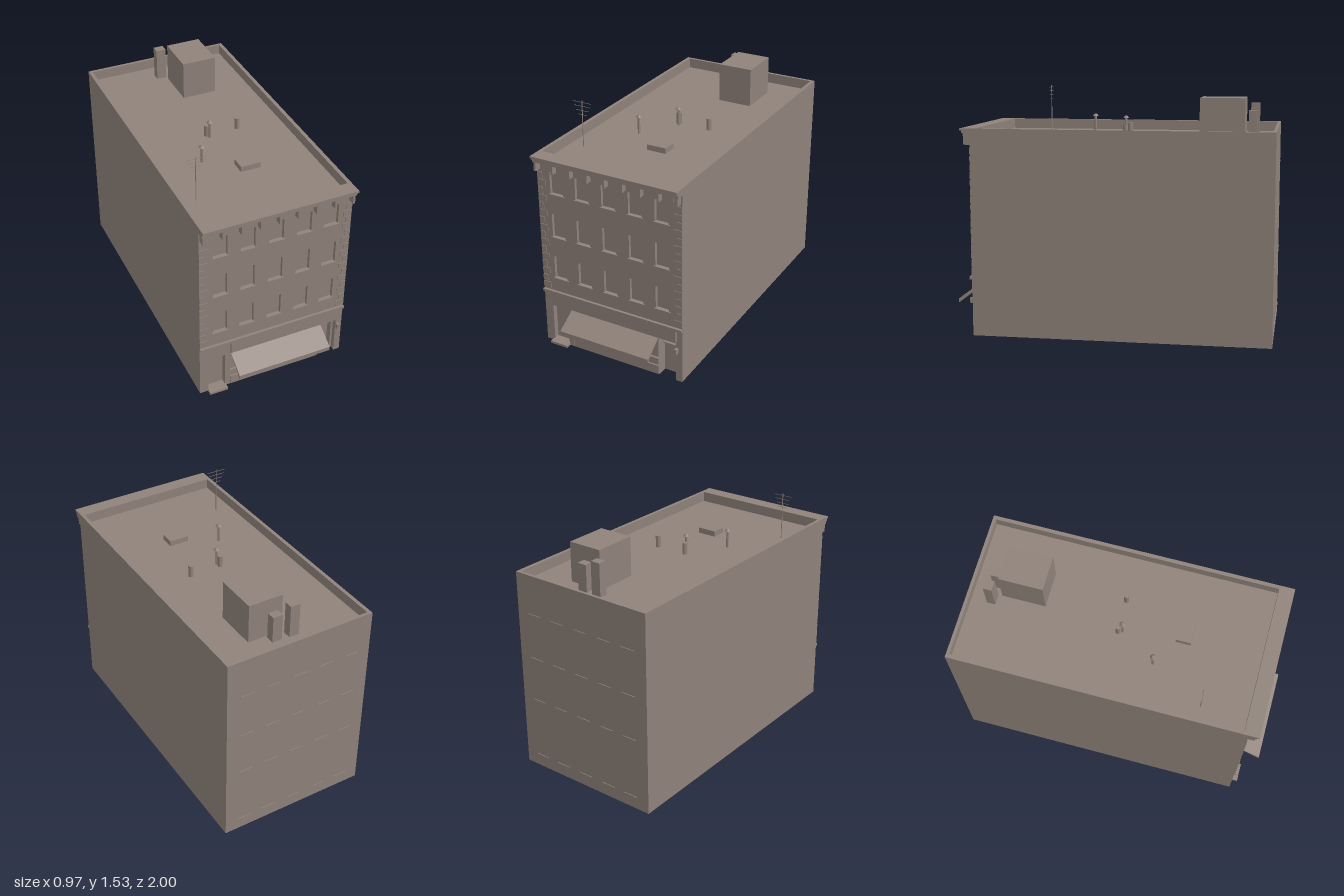
import * as THREE from 'three';

export function createModel() {
  const model = new THREE.Group();
  model.name = 'rowBuilding';
  const masonry = new THREE.MeshStandardMaterial({ color: 0x8f827a, side: THREE.DoubleSide, flatShading: true });
  masonry.name = 'taupe masonry';

  const add = (name, geometry) => {
    const mesh = new THREE.Mesh(geometry, masonry);
    mesh.name = name;
    model.add(mesh);
    return mesh;
  };
  // Box given by its limits on each axis
  const box = (name, x0, x1, y0, y1, z0, z1) => {
    const mesh = add(name, new THREE.BoxGeometry(x1 - x0, y1 - y0, z1 - z0));
    mesh.position.set((x0 + x1) / 2, (y0 + y1) / 2, (z0 + z1) / 2);
    return mesh;
  };
  // Box without some faces (0 +x, 1 -x, 2 +y, 3 -y, 4 +z, 5 -z)
  const openBox = (name, missing, ...limits) => {
    const { geometry } = box(name, ...limits);
    const index = Array.from(geometry.index.array);
    geometry.setIndex(index.filter((_, i) => !missing.includes(Math.floor(i / 6))));
    geometry.clearGroups();
  };
  const cylinder = (name, x, z, y0, y1, rBottom, rTop = rBottom, sides = 12) => {
    const mesh = add(name, new THREE.CylinderGeometry(rTop, rBottom, y1 - y0, sides));
    mesh.position.set(x, (y0 + y1) / 2, z);
    return mesh;
  };
  const shapeOf = (points) => new THREE.Shape(points.map(([x, y]) => new THREE.Vector2(x, y)));
  const rect = (x0, x1, y0, y1) => shapeOf([[x0, y0], [x1, y0], [x1, y1], [x0, y1]]);
  const extrude = (shape, depth) => new THREE.ExtrudeGeometry(shape, { depth, bevelEnabled: false });

  const W = 0.487, ROOF = 1.23, FRONT = 0.86, BACK = -0.995;
  const columns = [-0.355, -0.18, 0, 0.18, 0.355];
  const floors = [[0.47, 0.62], [0.755, 0.91], [1.045, 1.19]];

  // Hollow shell: side walls, rear wall and roof, open below and at the front
  openBox('wallsAndRoof', [3, 4], -W, W, 0, ROOF, BACK, FRONT);

  // Upper facade with recessed windows
  const facade = rect(-W, W, 0.36, 1.29);
  for (const x of columns) {
    for (const [y0, y1] of floors) {
      facade.holes.push(rect(x - 0.045, x + 0.045, y0, y1));
      openBox('windowRecess', [4], x - 0.045, x + 0.045, y0, y1, 0.84, FRONT);
      box('windowSill', x - 0.053, x + 0.053, y0 - 0.004, y0 + 0.001, 0.85, 0.868);
    }
  }
  add('upperFacade', new THREE.ShapeGeometry(facade)).position.z = FRONT;

  // Ground floor facade with door and shop openings
  const ground = shapeOf([[-W, 0], [-0.43, 0], [-0.43, 0.26], [-0.32, 0.26], [-0.32, 0], [-0.285, 0],
    [-0.285, 0.275], [0.445, 0.275], [0.445, 0], [W, 0], [W, 0.36], [-W, 0.36]]);
  add('groundFacade', new THREE.ShapeGeometry(ground)).position.z = FRONT;
  openBox('leftDoorRecess', [3, 4], -0.43, -0.32, 0, 0.26, 0.825, FRONT);
  box('leftDoorStep', -0.435, -0.315, 0, 0.015, 0.825, 0.9);

  // Shop window, plinth and recessed right door
  openBox('shopWindowRecess', [3, 4], -0.285, 0.325, 0, 0.275, 0.835, FRONT);
  openBox('shopPlinth', [3, 5], -0.28, 0.325, 0, 0.06, 0.835, FRONT);
  openBox('shopWindowBase', [3, 5], -0.28, 0.325, 0.06, 0.105, 0.835, 0.85);
  openBox('rightDoorRecess', [3, 4], 0.33, 0.445, 0, 0.268, 0.79, FRONT);
  box('rightDoorHeader', 0.325, 0.445, 0.268, 0.275, 0.84, FRONT);
  box('rightDoorTransom', 0.33, 0.43, 0.203, 0.21, 0.79, 0.81);
  box('rightDoorJamb', 0.43, 0.445, 0, 0.268, 0.79, 0.83);
  box('wallBox', 0.446, 0.46, 0.2, 0.235, FRONT, 0.885);
  box('shopFascia', -0.285, 0.45, 0.275, 0.36, FRONT, 0.875);
  box('shopLedge', -W, W, 0.357, 0.375, FRONT, 0.877);

  // Sloping awning
  const awning = add('awning', extrude(shapeOf([[-0.865, 0.275], [-1, 0.195], [-1, 0.168]]), 0.615));
  awning.rotation.y = Math.PI / 2;
  awning.position.x = -0.285;

  // Alternating corner quoins
  for (let i = 0; i < 16; i++) {
    const y = 0.385 + i * 0.05, w = i % 2 ? 0.035 : 0.055;
    for (const s of [-1, 1]) {
      box('quoin', Math.min(s * W, s * (W - w)), Math.max(s * W, s * (W - w)), y, y + 0.042, FRONT, 0.864);
    }
  }

  // Cornice with brackets and dentils
  box('frieze', -0.43, 0.43, 1.19, 1.25, FRONT, 0.864);
  box('corniceLower', -W, W, 1.25, 1.266, FRONT, 0.903);
  box('corniceMiddle', -W, W, 1.266, 1.282, FRONT, 0.913);
  box('corniceTop', -W, W, 1.282, 1.295, 0.85, 0.925);
  for (let i = 0; i < 9; i++) {
    const x = -0.472 + i * 0.118;
    box('bracket', x - 0.007, x + 0.007, 1.195, 1.25, FRONT, 0.903);
    if (i < 8) {
      for (let j = 1; j <= 3; j++) {
        const d = x + j * 0.0295;
        box('dentil', d - 0.005, d + 0.005, 1.239, 1.25, FRONT, 0.88);
      }
    }
  }

  // Parapet ring around the sunken roof
  const ring = rect(-W, W, -FRONT, -BACK);
  ring.holes.push(rect(-0.463, 0.463, -0.83, 0.975));
  const parapet = add('parapet', extrude(ring, 1.295 - ROOF));
  parapet.rotation.x = -Math.PI / 2;
  parapet.position.y = ROOF;

  // Thin rear sills
  for (const x of columns) {
    for (const y of [0.08, 0.47, 0.755, 1.045]) {
      box('rearSill', x - 0.047, x + 0.047, y - 0.002, y + 0.002, -1, BACK);
    }
  }

  // Roof structures
  box('stairHouse', 0.006, 0.23, ROOF, 1.48, -0.797, -0.521);
  box('tallChimney', -0.061, 0.003, ROOF, 1.44, -0.875, -0.821);
  box('shortChimney', 0.049, 0.113, ROOF, 1.4, -0.867, -0.813);
  box('roofHatch', -0.01, 0.118, ROOF, 1.265, 0.303, 0.396);
  for (const [x, z] of [[-0.037, -0.05], [0.173, -0.053]]) cylinder('ventPipe', x, z, ROOF, 1.305, 0.016);
  for (const [x, z] of [[-0.18, 0.205], [-0.027, -0.024]]) {
    cylinder('cappedPipe', x, z, ROOF, 1.342, 0.008);
    cylinder('pipeCap', x, z, 1.338, 1.352, 0.02, 0.008);
  }

  // Aerial
  cylinder('aerialMast', -0.365, 0.545, ROOF, 1.53, 0.003, 0.003, 6);
  for (const [y, r] of [[1.518, 0.065], [1.493, 0.055], [1.466, 0.043], [1.44, 0.031]]) {
    box('aerialBar', -0.365 - r, -0.365 + r, y - 0.0012, y + 0.0012, 0.544, 0.546);
  }

  return model;
}
